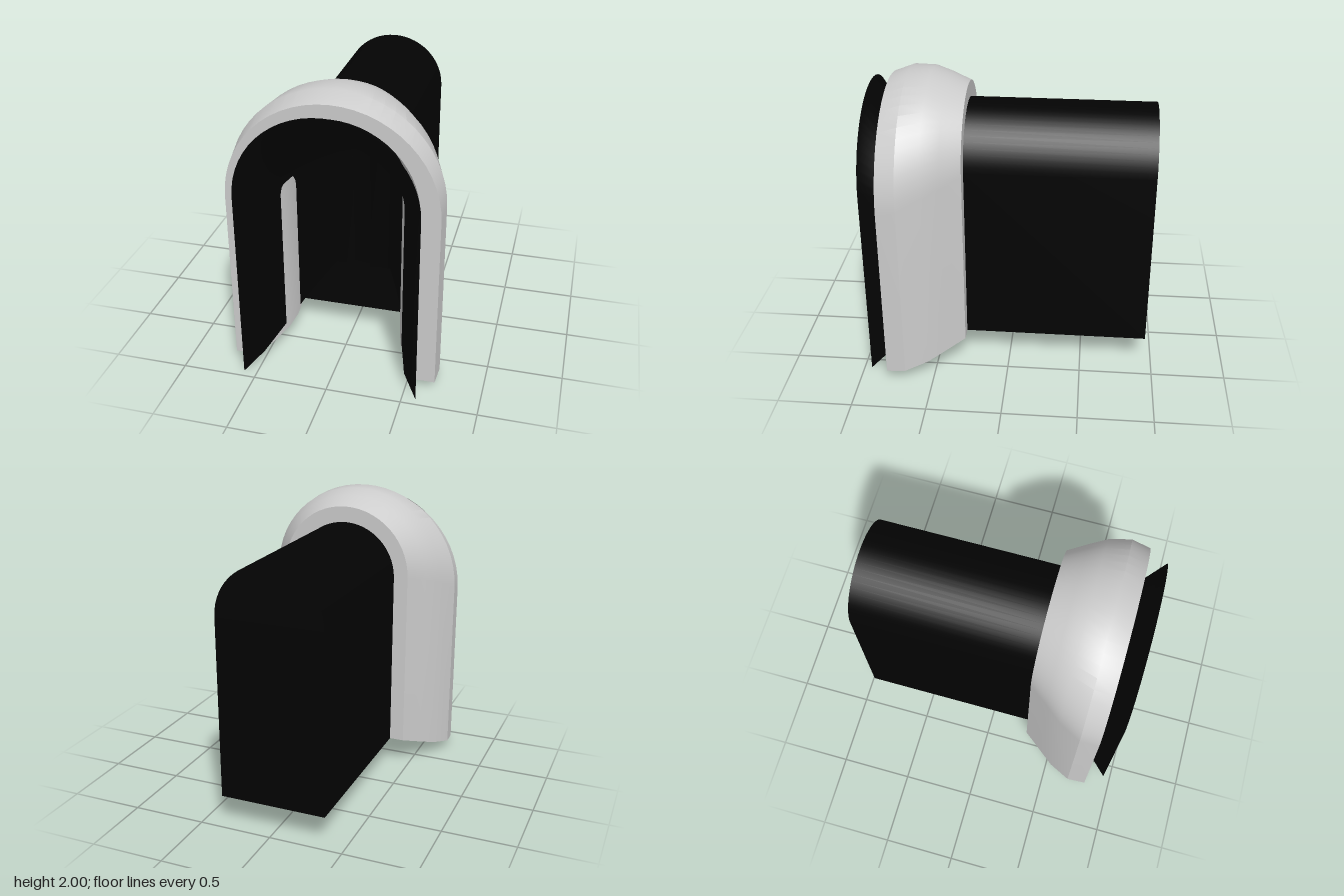
import * as THREE from 'three';
import { toCreasedNormals } from 'three/addons/utils/BufferGeometryUtils.js';

const ARC = 28;

// Arch outline: up the left side, over a semicircle, down the right side
function arch([z, half, bottom, top]) {
  const spring = top - half;
  const pts = [[half, bottom, z]];
  for (let i = 0; i <= ARC; i++) {
    const a = (Math.PI * i) / ARC;
    pts.push([half * Math.cos(a), spring + half * Math.sin(a), z]);
  }
  pts.push([-half, bottom, z]);
  return pts;
}

// Skin a list of equal-length outlines; extra quads can close the ends
function skin(rows, quads = [], crease = 0.4) {
  const pos = [];
  const quad = (a, b, c, d) => pos.push(...a, ...b, ...c, ...a, ...c, ...d);
  for (let i = 0; i < rows.length - 1; i++) {
    for (let j = 0; j < rows[i].length - 1; j++) {
      quad(rows[i][j], rows[i][j + 1], rows[i + 1][j + 1], rows[i + 1][j]);
    }
  }
  quads.forEach((q) => quad(...q));
  const geo = new THREE.BufferGeometry();
  geo.setAttribute('position', new THREE.Float32BufferAttribute(pos, 3));
  geo.computeVertexNormals();
  return toCreasedNormals(geo, crease);
}

export function createModel() {
  const group = new THREE.Group();
  const grey = new THREE.MeshStandardMaterial({ color: 0xcccccc });
  const black = new THREE.MeshStandardMaterial({ color: 0x030303, side: THREE.DoubleSide });
  const add = (name, geo, mat) => {
    const mesh = new THREE.Mesh(geo, mat);
    mesh.name = name;
    group.add(mesh);
  };

  // Arched surround, sections are [z, half width, bottom, top]
  const outer = [
    [0.30, 0.465, 0.20, 1.91],
    [0.43, 0.557, 0.15, 1.965],
    [0.54, 0.635, 0.11, 2.0],
    [0.69, 0.70, 0.07, 2.0],
    [0.82, 0.69, 0.055, 1.95],
  ].map(arch);
  const inner = [
    [0.30, 0.365, 0.20, 1.80],
    [0.43, 0.37, 0.15, 1.80],
    [0.54, 0.40, 0.11, 1.80],
    [0.69, 0.47, 0.07, 1.81],
    [0.82, 0.56, 0.055, 1.86],
  ].map(arch);
  // Undersides of the two legs
  const feet = [];
  const last = outer[0].length - 1;
  for (let k = 0; k < outer.length - 1; k++) {
    feet.push([outer[k][0], outer[k + 1][0], inner[k + 1][0], inner[k][0]]);
    feet.push([inner[k][last], inner[k + 1][last], outer[k + 1][last], outer[k][last]]);
  }
  add('archSurround', skin([...outer, ...[...inner].reverse(), outer[0]], feet), grey);

  // Long tunnel with a floor, open towards the mouth
  const ends = [[-0.95, 0.365, 0.2, 1.8], [0.3, 0.365, 0.2, 1.8]].map((s) => {
    const p = arch(s);
    return [...p, p[0]];
  });
  add('tunnel', skin(ends), black);

  // Flat wall closing the back of the tunnel
  const wall = new THREE.Shape(ends[0].map((p) => new THREE.Vector2(p[0], p[1])));
  const wallGeo = new THREE.ShapeGeometry(wall);
  wallGeo.scale(-1, 1, -1);
  wallGeo.translate(0, 0, -0.95);
  add('tunnelBackWall', wallGeo, black);

  // Flared mouth lining that narrows into the tunnel
  const lining = [
    [-0.20, 0.001, 0.21, 1.20],
    [-0.10, 0.10, 0.29, 1.28],
    [0.00, 0.20, 0.35, 1.35],
    [0.15, 0.28, 0.28, 1.43],
    [0.30, 0.35, 0.21, 1.50],
    [0.60, 0.42, 0.15, 1.60],
    [0.82, 0.485, 0.09, 1.72],
    [0.95, 0.59, 0.0, 1.92],
  ].map(arch);
  add('mouthLining', skin(lining, [], 1.2), black);

  return group;
}
